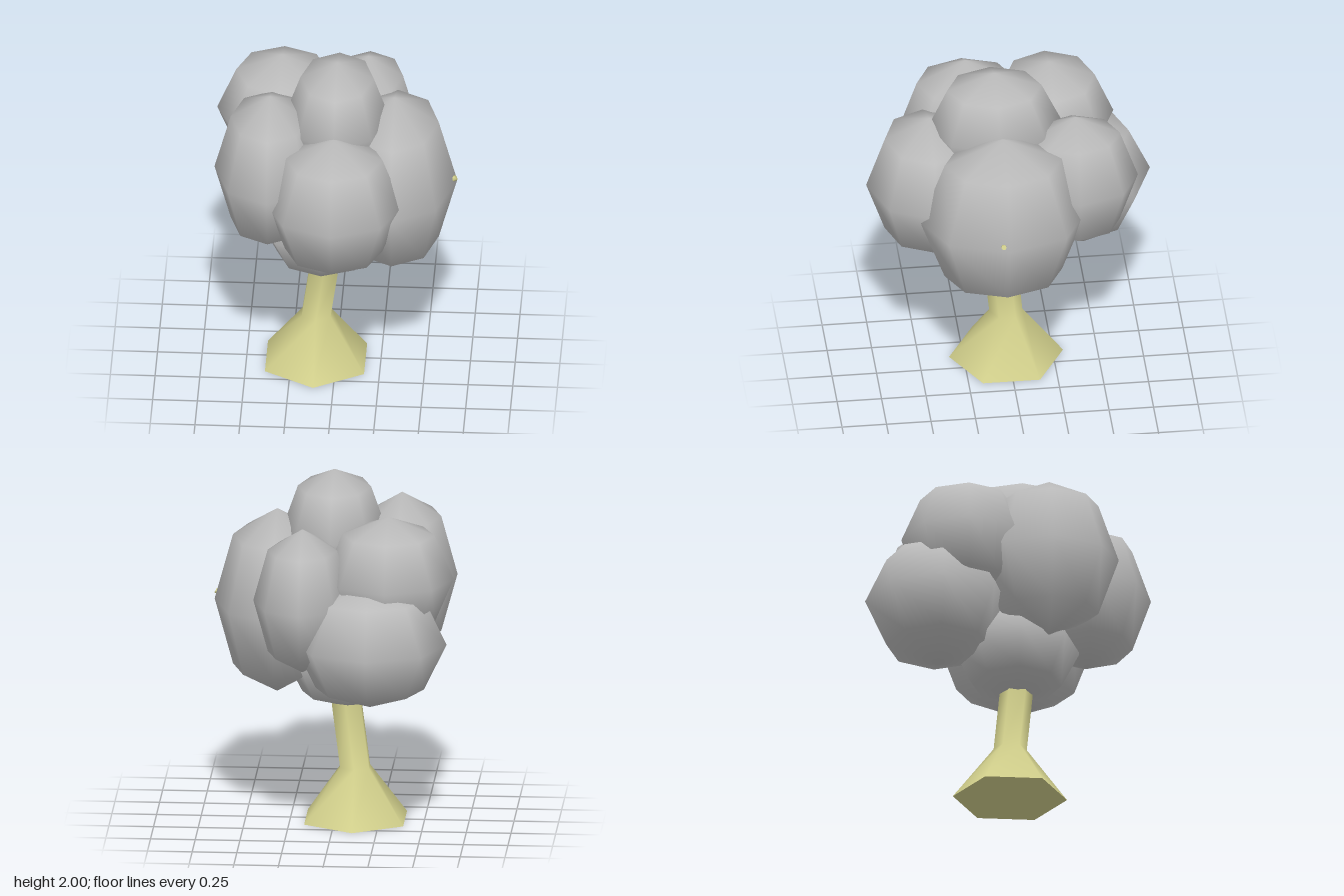
import * as THREE from 'three';
import { mergeVertices } from 'three/addons/utils/BufferGeometryUtils.js';

// Six-sided tube through rings of [centre x, y, z, radius]
function limb(rings) {
  const n = rings.length - 1;
  let geo = new THREE.CylinderGeometry(1, 1, n, 6, n, true);
  const p = geo.attributes.position;
  for (let i = 0; i < p.count; i++) {
    const [x, y, z, r] = rings[Math.round(p.getY(i) + n / 2)];
    p.setXYZ(i, x + p.getX(i) * r, y, z + p.getZ(i) * r);
  }
  geo.deleteAttribute('uv');
  geo.deleteAttribute('normal');
  geo = mergeVertices(geo);
  geo.computeVertexNormals();
  return geo;
}

export function createModel() {
  const group = new THREE.Group();
  const foliage = new THREE.MeshStandardMaterial({ color: 0xbbbbbb });
  foliage.name = 'foliage grey';
  const bark = new THREE.MeshStandardMaterial({ color: 0xd2d08c });
  bark.name = 'pale bark';

  const add = (name, geo, mat) => {
    const mesh = new THREE.Mesh(geo, mat);
    mesh.name = name;
    group.add(mesh);
    return mesh;
  };

  // Leaning trunk with a flared foot
  add('trunk', limb([
    [-0.113, 0, 0.01, 0.32],
    [-0.11, 0.3, 0.012, 0.093],
    [-0.062, 0.65, 0.048, 0.093],
    [-0.03, 0.95, 0.07, 0.06],
  ]), bark);
  const base = add('trunkBase', new THREE.CircleGeometry(0.32, 6, Math.PI / 2), bark);
  base.rotation.x = Math.PI / 2;
  base.position.set(-0.113, 0, 0.01);

  // Thin branch whose tip just pierces the crown
  const from = new THREE.Vector3(-0.03, 0.92, 0.07);
  const tip = new THREE.Vector3(0.677, 1.277, 0.11);
  const dir = tip.clone().sub(from);
  const branch = add('branch', new THREE.CylinderGeometry(0.015, 0.04, dir.length(), 6), bark);
  branch.position.copy(from).lerp(tip, 0.5);
  branch.quaternion.setFromUnitVectors(new THREE.Vector3(0, 1, 0), dir.normalize());

  // Crown of overlapping low-poly puffs: name, centre, radii
  const puff = new THREE.SphereGeometry(1, 8, 4);
  const puffs = [
    ['topPuff', [0.01, 1.66, 0.09], [0.29, 0.34, 0.375]],
    ['frontPuff', [0.01, 1.295, 0.455], [0.385, 0.425, 0.355]],
    ['leftPuff', [0.33, 1.24, 0.075], [0.35, 0.53, 0.467]],
    ['rightPuff', [-0.36, 1.37, 0.21], [0.31, 0.47, 0.39]],
    ['upperBackPuff', [-0.315, 1.47, -0.255], [0.365, 0.355, 0.36]],
    ['lowerBackPuff', [-0.22, 1.13, -0.4], [0.43, 0.37, 0.41]],
    ['backLeftPuff', [0.16, 1.355, -0.35], [0.275, 0.415, 0.35]],
    ['bottomPuff', [-0.07, 0.925, 0.05], [0.365, 0.29, 0.355]],
  ];
  for (const [name, centre, radii] of puffs) {
    const mesh = add(name, puff, foliage);
    mesh.position.set(...centre);
    mesh.scale.set(...radii);
  }
  return group;
}
